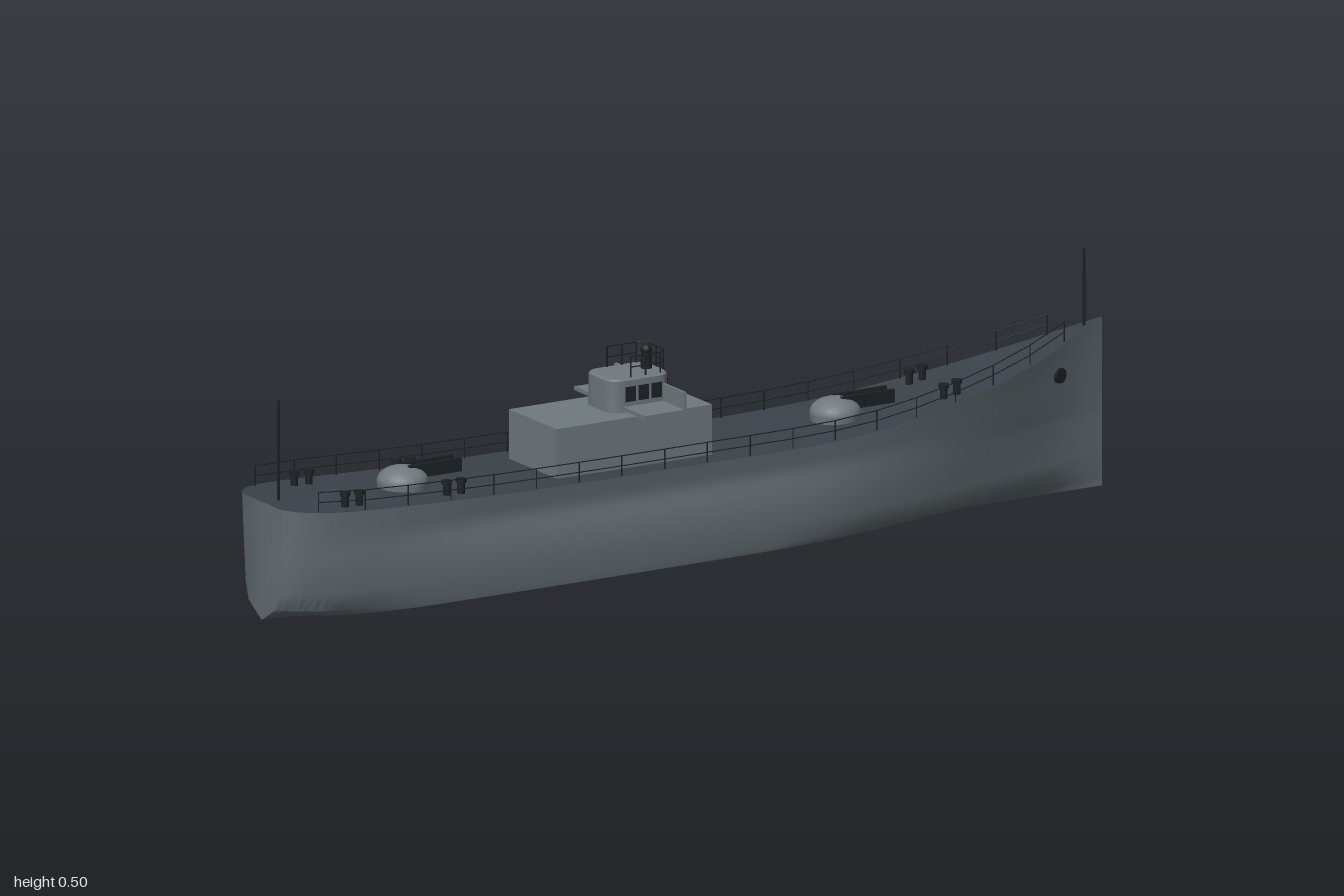
import * as THREE from 'three';
import { toCreasedNormals } from 'three/addons/utils/BufferGeometryUtils.js';

const paint = (name, color) => Object.assign(new THREE.MeshStandardMaterial({ color }), { name });

// Smooth curve through [x, value] pairs
function track(pts) {
  const slope = (i) => {
    const a = pts[Math.max(i - 1, 0)], b = pts[Math.min(i + 1, pts.length - 1)];
    return (b[1] - a[1]) / (b[0] - a[0]);
  };
  return (x) => {
    let i = 0;
    while (i < pts.length - 2 && x > pts[i + 1][0]) i++;
    const [x0, v0] = pts[i], [x1, v1] = pts[i + 1], h = x1 - x0, t = (x - x0) / h;
    const t2 = t * t, t3 = t2 * t;
    return (2 * t3 - 3 * t2 + 1) * v0 + (t3 - 2 * t2 + t) * h * slope(i)
      + (3 * t2 - 2 * t3) * v1 + (t3 - t2) * h * slope(i + 1);
  };
}

// Hull lines: deck height, and half widths at deck, waterline and bilge
const sheer = track([[-1, 0.248], [-0.8, 0.238], [-0.5, 0.228], [0, 0.225], [0.3, 0.228], [0.5, 0.245], [0.75, 0.288], [1, 0.355]]);
const deckHalf = track([[-1, 0.075], [-0.985, 0.1], [-0.96, 0.12], [-0.92, 0.135], [-0.85, 0.144], [-0.7, 0.146], [0, 0.146], [0.25, 0.146], [0.4, 0.138], [0.6, 0.112], [0.8, 0.069], [1, 0]]);
const waterHalf = track([[-1, 0.068], [-0.985, 0.093], [-0.96, 0.113], [-0.92, 0.13], [-0.85, 0.143], [-0.7, 0.147], [0.2, 0.147], [0.35, 0.138], [0.55, 0.105], [0.75, 0.056], [0.9, 0.018], [1, 0]]);
const bilgeHalf = track([[-1, 0.03], [-0.96, 0.06], [-0.9, 0.1], [-0.8, 0.13], [-0.65, 0.141], [0.1, 0.141], [0.3, 0.126], [0.5, 0.088], [0.7, 0.042], [0.85, 0.013], [1, 0]]);
const bulge = track([[-1, 0], [-0.8, 0.3], [-0.5, 1], [0.1, 1], [0.5, 0.2], [0.7, 0], [1, 0]]);

// Skin over rows of points
function skin(rows, crease) {
  const pos = rows.flat(2), n = rows[0].length, idx = [];
  for (let i = 0; i < rows.length - 1; i++) {
    for (let j = 0; j < n - 1; j++) {
      const a = i * n + j, b = a + n;
      idx.push(a, b, b + 1, a, b + 1, a + 1);
    }
  }
  const g = new THREE.BufferGeometry();
  g.setAttribute('position', new THREE.Float32BufferAttribute(pos, 3));
  g.setIndex(idx);
  return toCreasedNormals(g, crease);
}

export function createModel() {
  const ship = new THREE.Group();
  ship.name = 'ship';
  const hullGrey = paint('hull grey', 0x626c71);
  const houseGrey = paint('superstructure grey', 0x70797d);
  const deckGrey = paint('deck grey', 0x3a4249);
  const black = paint('fitting black', 0x1d2225);

  const add = (name, geo, mat, x = 0, y = 0, z = 0, parent = ship) => {
    const m = new THREE.Mesh(geo, mat);
    m.name = name;
    m.position.set(x, y, z);
    parent.add(m);
    return m;
  };
  const box = (name, mat, x0, x1, y0, y1, z0, z1, parent) =>
    add(name, new THREE.BoxGeometry(x1 - x0, y1 - y0, z1 - z0), mat, (x0 + x1) / 2, (y0 + y1) / 2, (z0 + z1) / 2, parent);
  const rod = (name, a, b, r, parent = ship) => {
    const d = new THREE.Vector3().subVectors(b, a);
    const m = add(name, new THREE.CylinderGeometry(r, r, d.length(), 6), black, 0, 0, 0, parent);
    m.position.addVectors(a, b).multiplyScalar(0.5);
    m.quaternion.setFromUnitVectors(new THREE.Vector3(0, 1, 0), d.normalize());
  };
  const V = (x, y, z) => new THREE.Vector3(x, y, z);

  // Hull: stations packed closely round the stern, closed by a flat transom
  const stations = [];
  for (let i = 0; i <= 60; i++) stations.push(-1 + 2 * Math.pow(i / 60, 1.5));
  const section = (x, k) => {
    const s = sheer(x), d = deckHalf(x) * k, w = waterHalf(x) * k, b = bilgeHalf(x) * k;
    const pinch = 0.009 * bulge(x) * k, mid = w + (d - w) * 0.15;
    const half = [[b, 0.018], [b + (w - b) * 0.55, 0.032], [b + (w - b) * 0.85, 0.07], [w, 0.15],
      [mid - pinch, 0.166], [mid + (d - mid) * 0.45 - pinch * 0.55, 0.166 + (s - 0.166) * 0.5], [d, s]];
    return [...half.slice().reverse().map(([z, y]) => [x, y, -z]), [x, 0, 0], ...half.map(([z, y]) => [x, y, z])];
  };
  add('hull', skin([section(-1, 0), ...stations.map((x) => section(x, 1))], 0.7), hullGrey);
  add('deck', skin(stations.map((x) => [1, 0, -1].map((k) => [x, sheer(x), k * deckHalf(x)])), 0.7), deckGrey);

  // Deckhouse
  box('deckhouse', houseGrey, -0.355, 0.015, 0.2, 0.33, -0.092, 0.092);

  // Wheelhouse with rounded corners
  const plan = new THREE.Shape();
  const [xa, xb, zb, c] = [-0.196, -0.062, 0.05, 0.025];
  plan.moveTo(xa + c, -zb).lineTo(xb - c, -zb).quadraticCurveTo(xb, -zb, xb, -zb + c)
    .lineTo(xb, zb - c).quadraticCurveTo(xb, zb, xb - c, zb).lineTo(xa + c, zb)
    .quadraticCurveTo(xa, zb, xa, zb - c).lineTo(xa, -zb + c).quadraticCurveTo(xa, -zb, xa + c, -zb);
  const wheelhouse = new THREE.ExtrudeGeometry(plan, { depth: 0.066, bevelThickness: 0.004, bevelSize: 0.004, bevelSegments: 1, curveSegments: 5 });
  wheelhouse.rotateX(-Math.PI / 2);
  add('wheelhouse', toCreasedNormals(wheelhouse, 0.6), houseGrey, 0, 0.33, 0);
  for (const k of [-1, 0, 1]) {
    box('frontWindow', black, -0.059, -0.056, 0.352, 0.383, k * 0.026 - 0.0105, k * 0.026 + 0.0105);
    for (const s of [-1, 1]) {
      const x = -0.125 + k * 0.031;
      box('sideWindow', black, x - 0.012, x + 0.012, 0.352, 0.383, s * 0.055 - 0.0015, s * 0.055 + 0.0015);
    }
  }

  // Bridge wings: floor slab with a screen along the forward edge
  box('bridgeWingFloor', houseGrey, -0.172, -0.072, 0.334, 0.342, -0.137, 0.137);
  for (const s of [-1, 1]) box('bridgeWingScreen', houseGrey, -0.078, -0.072, 0.342, 0.378, s > 0 ? 0.05 : -0.135, s > 0 ? 0.135 : -0.05);

  // Railing on the wheelhouse roof
  const roofRail = new THREE.Group();
  roofRail.name = 'roofRailing';
  ship.add(roofRail);
  const loop = [[-0.15, 0.046], [-0.115, 0.046], [-0.08, 0.046], [-0.063, 0.03], [-0.061, 0]];
  const path = [...loop, ...loop.slice(0, -1).reverse().map(([x, z]) => [x, -z])];
  path.forEach(([x, z], i) => {
    rod('post', V(x, 0.398, z), V(x, 0.443, z), 0.0016, roofRail);
    if (i) for (const y of [0.421, 0.443]) rod('rail', V(path[i - 1][0], y, path[i - 1][1]), V(x, y, z), 0.0013, roofRail);
  });

  // Searchlight on its pedestal
  add('searchlightPedestal', new THREE.CylinderGeometry(0.01, 0.012, 0.04, 12), black, -0.085, 0.418, 0);
  add('searchlightHead', new THREE.SphereGeometry(0.012, 12, 8), black, -0.085, 0.439, 0);

  // Gun turrets, both facing forward
  for (const x of [-0.665, 0.365]) {
    const y = sheer(x), gun = new THREE.Group();
    gun.name = 'gunTurret';
    gun.position.set(x, y, 0);
    ship.add(gun);
    const dome = add('turretDome', new THREE.SphereGeometry(0.053, 24, 8, 0, Math.PI * 2, 0, Math.PI / 2), houseGrey, 0, 0.012, 0, gun);
    dome.scale.y = 0.62;
    add('turretBase', new THREE.CylinderGeometry(0.053, 0.05, 0.03, 24), houseGrey, 0, -0.003, 0, gun);
    for (const s of [-1, 1]) box('gunBarrel', black, 0.005, 0.13, 0.018, 0.046, s * 0.015 - 0.004, s * 0.015 + 0.004, gun);
  }

  // Fittings mirrored on both sides
  const hawse = new THREE.CylinderGeometry(0.016, 0.016, 0.012, 16).rotateX(Math.PI / 2);
  for (const s of [-1, 1]) {
    // Mooring bollards in pairs
    for (const [x0, x1, z] of [[-0.862, -0.828, 0.098], [-0.62, -0.586, 0.098], [0.582, 0.613, 0.067]]) {
      for (const x of [x0, x1]) {
        add('bollard', new THREE.CylinderGeometry(0.008, 0.008, 0.03, 10), black, x, sheer(x) + 0.014, s * z);
        add('bollardCap', new THREE.CylinderGeometry(0.011, 0.011, 0.008, 10), black, x, sheer(x) + 0.027, s * z);
      }
    }
    // Anchor hawse near the bow
    const yh = 0.257, t = (yh - 0.15) / (sheer(0.875) - 0.15);
    const zh = waterHalf(0.875) * (1 - t) + deckHalf(0.875) * t;
    add('anchorHawse', hawse, black, 0.875, yh, s * zh).rotation.y = s * 0.3;

    // Deck railing following the sheer
    const rail = new THREE.Group();
    rail.name = 'deckRailing';
    ship.add(rail);
    let last = null;
    for (let i = 0; i <= 18; i++) {
      const x = -0.94 + (1.83 * i) / 18, foot = V(x, sheer(x), s * (deckHalf(x) - 0.007));
      rod('post', foot, foot.clone().setY(foot.y + 0.042), 0.0014, rail);
      if (last) {
        for (const h of [0.021, 0.042]) rod('rail', last.clone().setY(last.y + h), foot.clone().setY(foot.y + h), 0.0011, rail);
      }
      last = foot;
    }
  }

  // Staffs at stern and bow
  rod('sternStaff', V(-0.96, 0.24, 0), V(-0.96, 0.455, 0), 0.0035);
  rod('bowStaff', V(0.957, 0.33, 0), V(0.957, 0.503, 0), 0.0035);
  return ship;
}
